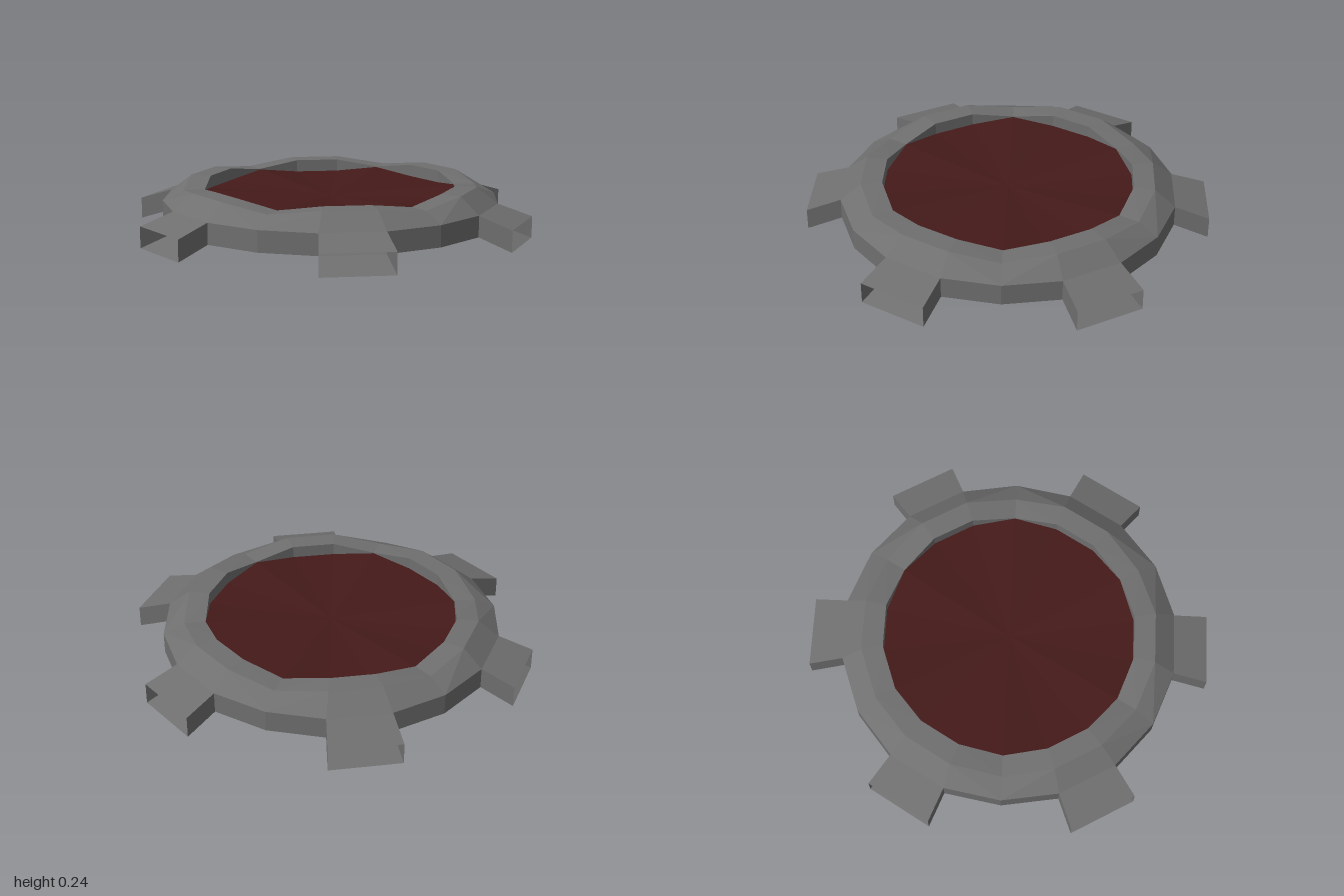
import * as THREE from 'three';

const grey = new THREE.MeshStandardMaterial({ color: 0x6f6f6f, flatShading: true, side: THREE.DoubleSide });
const red = new THREE.MeshStandardMaterial({ color: 0x451a1a, flatShading: true, side: THREE.DoubleSide });

const OUTER_R = 0.844;
const OUTER_SPREAD = 10.6; // half angle of an arm opening, in degrees

// Mesh from a list of quads; collapsed triangles are dropped.
function quadMesh(name, quads, material) {
  const pos = [];
  const tri = new THREE.Triangle();
  for (const [a, b, c, d] of quads) {
    for (const t of [[a, b, c], [a, c, d]]) {
      tri.set(...t);
      if (tri.getArea() > 1e-7) t.forEach((p) => pos.push(p.x, p.y, p.z));
    }
  }
  const geometry = new THREE.BufferGeometry();
  geometry.setAttribute('position', new THREE.Float32BufferAttribute(pos, 3));
  geometry.computeVertexNormals();
  const mesh = new THREE.Mesh(geometry, material);
  mesh.name = name;
  return mesh;
}

// Eighteen-sided loop: two corners at each arm, one corner halfway to the next.
// yArm and yMid are the heights of those two kinds of corner.
function loop(r, yArm, yMid = yArm, spread = 10) {
  const points = [];
  for (let i = 0; i < 6; i++) {
    for (const [deg, y] of [[-spread, yArm], [spread, yArm], [30, yMid]]) {
      const a = THREE.MathUtils.degToRad(i * 60 + deg);
      points.push(new THREE.Vector3(r * Math.cos(a), y, r * Math.sin(a)));
    }
  }
  return points;
}

// Band between two loops, optionally leaving the arm openings out.
// The diagonals mirror each other about every halfway corner.
function band(name, from, to, material, openAtArms = false) {
  const quads = [];
  for (let i = 0; i < 18; i++) {
    if (openAtArms && i % 3 === 0) continue;
    const j = (i + 1) % 18;
    quads.push(i % 3 === 1 ? [to[i], to[j], from[j], from[i]] : [from[i], to[i], to[j], from[j]]);
  }
  return quadMesh(name, quads, material);
}

// Hollow arm along +x, open at both ends, drooping and widening to the tip.
function createArm() {
  const section = (x, w, y0, y1) => [
    new THREE.Vector3(x, y0, -w), new THREE.Vector3(x, y1, -w),
    new THREE.Vector3(x, y1, w), new THREE.Vector3(x, y0, w),
  ];
  const a = THREE.MathUtils.degToRad(OUTER_SPREAD);
  const base = section(OUTER_R * Math.cos(a), OUTER_R * Math.sin(a), 0.055, 0.16);
  const tip = section(1, 0.175, 0, 0.107);
  const quads = base.map((p, i) => {
    const j = (i + 1) % 4;
    return [p, base[j], tip[j], tip[i]];
  });
  return quadMesh('arm', quads, grey);
}

export function createModel() {
  const model = new THREE.Group();
  model.name = 'sixArmedDisc';

  // Loops from the underside, around the outer edge, to the dish centre
  const outerLow = loop(OUTER_R, 0.055, 0.055, OUTER_SPREAD);
  const outerHigh = loop(OUTER_R, 0.16, 0.16, OUTER_SPREAD);
  const ridge = loop(0.74, 0.24, 0.21);
  const rimInner = loop(0.633, 0.24, 0.21);
  const dishEdge = loop(0.633, 0.178, 0.207);

  model.add(
    band('bottomPlate', loop(0, 0.055), outerLow, grey),
    band('outerWall', outerLow, outerHigh, grey, true),
    band('outerSlope', outerHigh, ridge, grey),
    band('rim', ridge, rimInner, grey),
    band('innerWall', rimInner, dishEdge, grey),
    band('dish', dishEdge, loop(0, 0.165), red),
  );

  // Six arms around the ring
  for (let i = 0; i < 6; i++) {
    const arm = createArm();
    arm.rotation.y = (i * Math.PI) / 3;
    model.add(arm);
  }
  return model;
}
